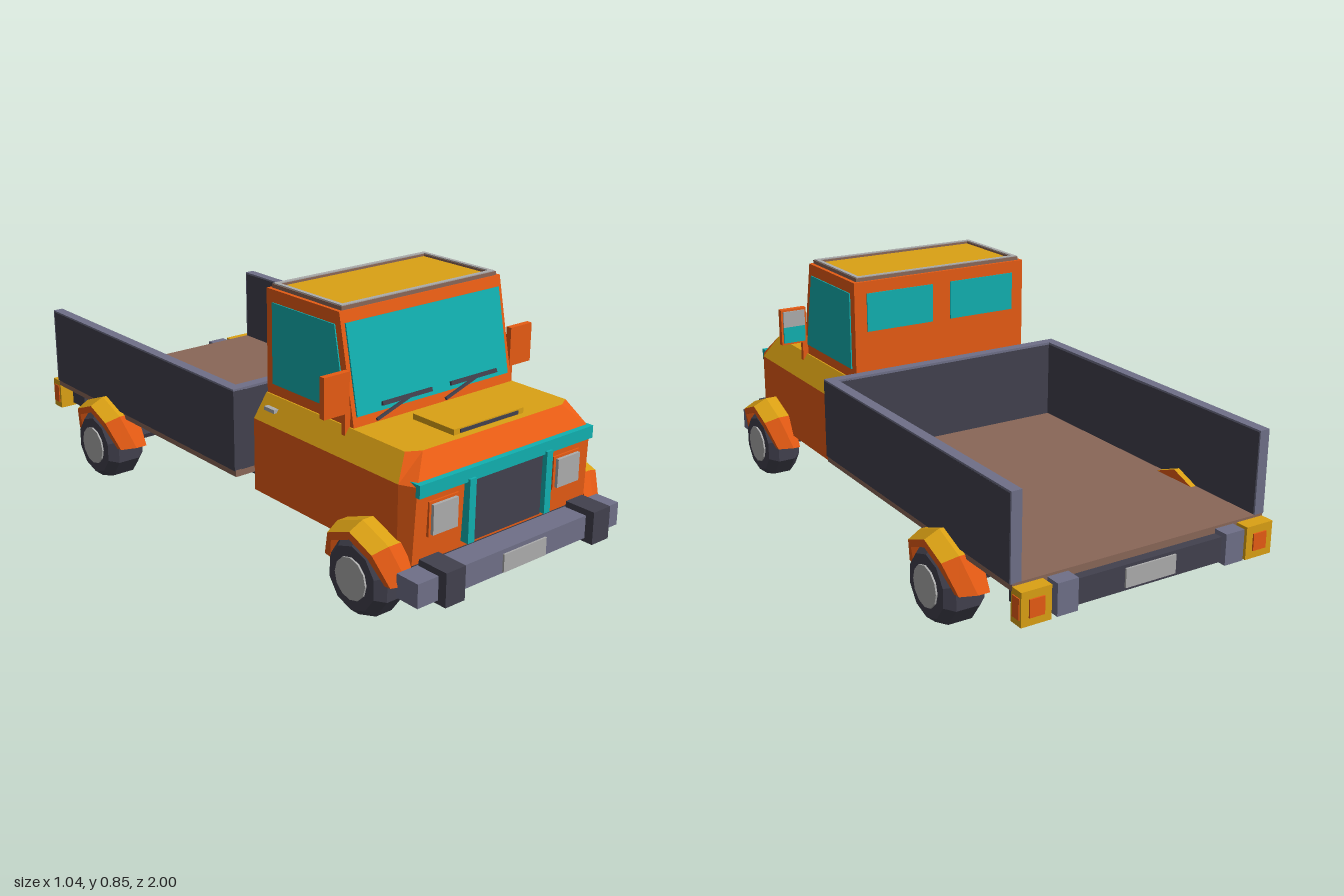
import * as THREE from 'three';

const mat = (name, color) => Object.assign(new THREE.MeshStandardMaterial({ color }), { name });
const orange = mat('body orange', 0xe85c14);
const amber = mat('sunlit amber', 0xdba114);
const teal = mat('teal glass and trim', 0x11b0b0);
const dark = mat('charcoal', 0x42414e);
const steel = mat('blue grey steel', 0x6f7088);
const grey = mat('light grey', 0xacacac);
const brown = mat('brown floor', 0x8a6758);

export function createModel() {
  const model = new THREE.Group();
  model.name = 'pickupTruck';

  const add = (name, geometry, material, parent = model) => {
    const mesh = new THREE.Mesh(geometry, material);
    mesh.name = name;
    parent.add(mesh);
    return mesh;
  };
  // Box given by its limits on each axis
  const box = (name, material, [x0, x1], [y0, y1], [z0, z1], parent) => {
    const g = new THREE.BoxGeometry(x1 - x0, y1 - y0, z1 - z0);
    g.translate((x0 + x1) / 2, (y0 + y1) / 2, (z0 + z1) / 2);
    return add(name, g, material, parent);
  };
  // The same box on both sides
  const pair = (name, material, [x0, x1], y, z) => {
    box(name + 'Left', material, [x0, x1], y, z);
    box(name + 'Right', material, [-x1, -x0], y, z);
  };
  const flat = (g) => {
    const f = g.index ? g.toNonIndexed() : g;
    f.computeVertexNormals();
    return f;
  };
  // Flat convex faces, each a loop of corner points
  const faces = (name, material, loops, s = 1) => {
    const pos = [];
    for (const loop of loops) {
      const l = loop.map(([x, y, z]) => [x * s, y, z]);
      if (s < 0) l.reverse();
      for (let i = 1; i < l.length - 1; i++) pos.push(...l[0], ...l[i], ...l[i + 1]);
    }
    const g = new THREE.BufferGeometry();
    g.setAttribute('position', new THREE.Float32BufferAttribute(pos, 3));
    return add(name, flat(g), material);
  };
  // Side profile in (z, y), extruded across x
  const sideProfile = (name, material, points, x0, x1) => {
    const g = new THREE.ExtrudeGeometry(new THREE.Shape(points.map((p) => new THREE.Vector2(...p))),
      { depth: x1 - x0, bevelEnabled: false });
    g.rotateY(-Math.PI / 2);
    g.translate(x1, 0, 0);
    return add(name, g, material);
  };

  // Lower body and hood, lofted through three plan outlines
  const ring = (y, xs, xf, zs, zf) =>
    [[-xs, y, 0.18], [-xs, y, zs], [-xf, y, zf], [xf, y, zf], [xs, y, zs], [xs, y, 0.18]];
  const rings = [ring(0.18, 0.385, 0.365, 0.84, 0.88), ring(0.42, 0.385, 0.36, 0.84, 0.89),
    ring(0.495, 0.335, 0.29, 0.81, 0.835)];
  const wall = (a, b, ids) => ids.map((i) => {
    const j = (i + 1) % 6;
    return [a[i], a[j], b[j], b[i]];
  });
  faces('lowerBody', orange, wall(rings[0], rings[1], [0, 1, 2, 3, 4, 5]));
  faces('hoodNose', orange, wall(rings[1], rings[2], [1, 2, 3, 5]));
  faces('hoodTop', amber, [...wall(rings[1], rings[2], [0, 4]), rings[2]]);
  box('bodyUnderside', dark, [-0.36, 0.36], [0.172, 0.181], [0.18, 0.88]);
  box('hoodScoop', amber, [-0.145, 0.145], [0.49, 0.513], [0.64, 0.81]);
  box('scoopOpening', dark, [-0.12, 0.12], [0.498, 0.509], [0.806, 0.813]);

  // Cab with glass
  sideProfile('cab', orange, [[0.18, 0.48], [0.592, 0.48], [0.52, 0.83], [0.18, 0.83]], -0.33, 0.33);
  const pane = [[0.21, 0.53], [0.555, 0.53], [0.503, 0.79], [0.21, 0.79]];
  sideProfile('sideWindowLeft', teal, pane, 0.328, 0.334);
  sideProfile('sideWindowRight', teal, pane, -0.334, -0.328);
  pair('rearWindow', teal, [0.035, 0.285], [0.66, 0.79], [0.176, 0.182]);
  const screen = new THREE.Group();
  screen.name = 'windscreen';
  screen.position.set(0, 0.66, 0.555);
  screen.rotation.x = -0.203;
  model.add(screen);
  box('windscreenGlass', teal, [-0.315, 0.315], [-0.138, 0.138], [-0.003, 0.005], screen);
  for (const x of [-0.12, 0.16]) {
    const blade = box('wiperBlade', dark, [-0.1, 0.1], [-0.006, 0.006], [0, 0.008], screen);
    blade.position.set(x, -0.118, 0.006);
    const arm = box('wiperArm', dark, [-0.07, 0.07], [-0.004, 0.004], [0, 0.008], screen);
    arm.position.set(x - 0.06, -0.14, 0.006);
    arm.rotation.z = 0.28;
  }

  // Roof panel and its raised rim
  box('roofPanel', amber, [-0.3, 0.3], [0.828, 0.835], [0.2, 0.5]);
  pair('roofRim', brown, [0.297, 0.317], [0.828, 0.842], [0.19, 0.515]);
  pair('roofRimCap', grey, [0.3, 0.314], [0.84, 0.845], [0.193, 0.512]);
  for (const z of [0.19, 0.495]) {
    box('roofRimCross', brown, [-0.3, 0.3], [0.828, 0.842], [z, z + 0.02]);
    box('roofRimCrossCap', grey, [-0.3, 0.3], [0.84, 0.845], [z + 0.003, z + 0.017]);
  }

  // Mirrors and door handles
  pair('mirror', orange, [0.335, 0.43], [0.54, 0.667], [0.555, 0.575]);
  pair('mirrorGlassUpper', grey, [0.342, 0.423], [0.604, 0.66], [0.55, 0.556]);
  pair('mirrorGlassLower', teal, [0.342, 0.423], [0.547, 0.604], [0.55, 0.556]);
  pair('mirrorArm', orange, [0.328, 0.35], [0.47, 0.56], [0.557, 0.573]);
  pair('doorHandle', grey, [0.355, 0.372], [0.455, 0.467], [0.215, 0.265]);

  // Front face
  box('grille', dark, [-0.14, 0.14], [0.2, 0.39], [0.87, 0.9]);
  pair('grilleTrim', teal, [0.148, 0.174], [0.2, 0.4], [0.87, 0.91]);
  box('noseTrim', teal, [-0.362, 0.362], [0.39, 0.43], [0.86, 0.902]);
  pair('headlampFrame', orange, [0.2, 0.315], [0.258, 0.365], [0.87, 0.893]);
  pair('headlamp', grey, [0.21, 0.307], [0.265, 0.357], [0.88, 0.903]);

  // Bumpers, number plates and tail lamps
  box('frontBumper', steel, [-0.425, 0.425], [0.105, 0.18], [0.885, 0.97]);
  pair('frontOverrider', dark, [0.272, 0.347], [0.093, 0.2], [0.89, 1]);
  box('frontPlate', grey, [-0.09, 0.09], [0.108, 0.166], [0.968, 0.976]);
  box('rearBumper', dark, [-0.4, 0.4], [0.155, 0.235], [-0.98, -0.86]);
  pair('rearOverrider', steel, [0.265, 0.335], [0.15, 0.25], [-1, -0.94]);
  box('rearPlate', grey, [-0.09, 0.09], [0.165, 0.225], [-0.986, -0.978]);
  pair('tailLamp', amber, [0.35, 0.45], [0.145, 0.25], [-0.995, -0.945]);
  pair('tailLampLens', orange, [0.375, 0.425], [0.17, 0.225], [-1, -0.99]);
  pair('tailLampSide', orange, [0.446, 0.453], [0.165, 0.23], [-0.988, -0.955]);

  // Open load bed
  box('bedFloor', brown, [-0.45, 0.45], [0.235, 0.258], [-0.95, 0.17]);
  pair('bedSide', dark, [0.42, 0.455], [0.256, 0.52], [-0.945, 0.17]);
  pair('bedSideRim', steel, [0.42, 0.455], [0.518, 0.526], [-0.95, 0.17]);
  pair('bedSideEnd', steel, [0.42, 0.455], [0.256, 0.52], [-0.95, -0.944]);
  box('bedFront', dark, [-0.42, 0.42], [0.256, 0.52], [0.135, 0.17]);
  box('bedFrontRim', steel, [-0.42, 0.42], [0.518, 0.526], [0.135, 0.17]);

  // Chassis with tapered axle housings
  box('chassis', dark, [-0.28, 0.28], [0.157, 0.236], [-0.95, 0.22]);
  const housing = (name, y, z0, z1) => {
    const g = new THREE.BoxGeometry(0.36, y - 0.11, z1 - z0);
    const p = g.attributes.position;
    for (let i = 0; i < p.count; i++) {
      if (p.getY(i) < 0) p.setXYZ(i, p.getX(i) * 0.6, p.getY(i), p.getZ(i) * 0.55);
    }
    g.translate(0, (y + 0.11) / 2, (z0 + z1) / 2);
    add(name, flat(g), dark);
  };
  housing('frontAxleHousing', 0.18, 0.36, 0.78);
  housing('rearAxleHousing', 0.162, -0.8, -0.41);

  // Wheels and faceted fenders
  const tyreProfile = (w) => [[0, -w], [0.1, -w], [0.125, 0.03 - w], [0.125, w - 0.03], [0.1, w], [0, w]]
    .map((p) => new THREE.Vector2(...p));
  for (const [end, cz, inner, outer, fenderInner, fenderOuter] of [
    ['front', 0.74, 0.345, 0.465, 0.37, 0.475], ['rear', -0.6, 0.375, 0.515, 0.4, 0.52]]) {
    for (const s of [1, -1]) {
      const side = s > 0 ? 'Left' : 'Right';
      const tyre = flat(new THREE.LatheGeometry(tyreProfile((outer - inner) / 2), 10));
      tyre.rotateY(Math.PI / 10);
      tyre.rotateZ(Math.PI / 2);
      tyre.translate(s * (inner + outer) / 2, 0.119, cz);
      add(end + 'Tyre' + side, tyre, dark);
      const hub = flat(new THREE.CylinderGeometry(0.066, 0.066, 0.012, 12));
      hub.rotateZ(Math.PI / 2);
      hub.translate(s * outer, 0.119, cz);
      add(end + 'Hub' + side, hub, grey);

      // Cross-sections swept over the wheel, narrower at both ends
      const sections = [5, 48, 90, 132, 175].map((deg, k) => {
        const a = deg * Math.PI / 180;
        const x1 = fenderOuter - (k % 4 === 0 ? 0.03 : 0);
        return [[fenderInner, 0.165], [x1 - 0.05, 0.165], [x1, 0.142], [x1, 0.118], [fenderInner, 0.118]]
          .map(([x, r]) => [x, 0.125 + r * Math.sin(a), cz + r * Math.cos(a)]);
      });
      const tops = [];
      const rest = [[...sections[0]].reverse(), sections[4]];
      for (let k = 0; k < 4; k++) {
        const [a, b] = [sections[k], sections[k + 1]];
        for (let j = 0; j < 5; j++) {
          const n = (j + 1) % 5;
          const upper = j < 2 && (k === 1 || k === 2);
          (upper ? tops : rest).push([a[j], a[n], b[n], b[j]]);
        }
      }
      faces(end + 'Fender' + side, orange, rest, s);
      faces(end + 'FenderTop' + side, amber, tops, s);
    }
    const axle = new THREE.CylinderGeometry(0.025, 0.025, inner * 2, 8);
    axle.rotateZ(Math.PI / 2);
    axle.translate(0, 0.119, cz);
    add(end + 'Axle', flat(axle), dark);
  }
  return model;
}
